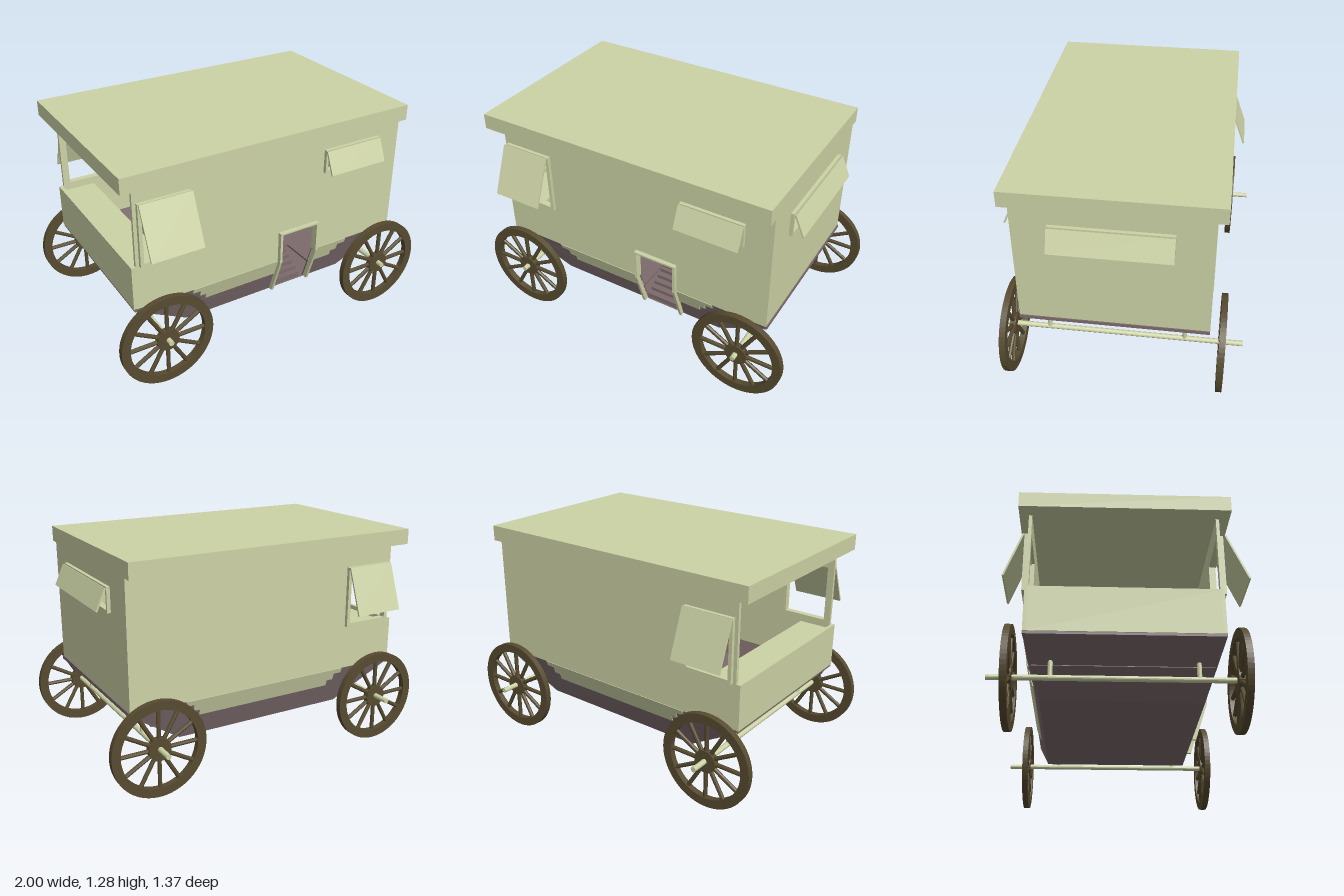
import * as THREE from 'three';

const mat = (color) => new THREE.MeshStandardMaterial({ color, flatShading: true, side: THREE.DoubleSide });
const BEND = 0.47, TAPER = 0.33; // below BEND the long sides lean inwards
const FRONT = 0.53, BACK = -0.505;

export function createModel() {
  const model = new THREE.Group();
  const green = mat(0xcdd3a6), purple = mat(0x7d6b6d), wood = mat(0x574b30);

  const add = (name, geo, material, parent = model) => {
    const mesh = new THREE.Mesh(geo, material);
    mesh.name = name;
    parent.add(mesh);
    return mesh;
  };
  const box = (name, x0, x1, y0, y1, z0, z1, material, parent) => {
    const geo = new THREE.BoxGeometry(x1 - x0, y1 - y0, z1 - z0);
    geo.translate((x0 + x1) / 2, (y0 + y1) / 2, (z0 + z1) / 2);
    return add(name, geo, material, parent);
  };
  const points = (list) => list.map(([x, y]) => new THREE.Vector2(x, y));
  const rect = (x0, x1, y0, y1) => points([[x0, y0], [x1, y0], [x1, y1], [x0, y1]]);

  // Flat sheet with holes, from z0 to z0 + depth
  const sheet = (outline, holes, z0, depth) => {
    const shape = new THREE.Shape(outline);
    holes.forEach((h) => shape.holes.push(new THREE.Path(h)));
    const geo = new THREE.ExtrudeGeometry(shape, { depth, bevelEnabled: false });
    return geo.translate(0, 0, z0);
  };
  // Lean a sheet inwards below the bend; side is +1 at the front, -1 at the back
  const lean = (geo, side) => {
    const p = geo.attributes.position;
    for (let i = 0; i < p.count; i++) {
      p.setZ(i, p.getZ(i) - side * Math.max(0, BEND - p.getY(i)) * TAPER);
    }
    geo.computeVertexNormals();
    return geo;
  };
  const quad = (name, corners, material) => {
    const geo = new THREE.BufferGeometry();
    geo.setAttribute('position', new THREE.Float32BufferAttribute(corners.flat(), 3));
    geo.setIndex([0, 1, 2, 0, 2, 3]);
    geo.computeVertexNormals();
    return add(name, geo, material);
  };

  // Roof
  box('roof', -0.93, 0.85, 1.19, 1.28, -0.557, 0.587, green);

  // Long upper walls with window holes, front one notched for the door
  const bigHole = rect(-0.81, -0.55, 0.75, 1.075);
  const smallHole = rect(0.335, 0.68, 0.98, 1.09);
  const wallTop = [[0.85, 1.19], [-0.85, 1.19], [-0.85, 0.73], [-0.875, 0.73], [-0.875, BEND]];
  const doorNotch = [[0.045, BEND], [0.045, 0.65], [0.28, 0.65], [0.28, BEND]];
  add('frontWall', sheet(points([...wallTop, ...doorNotch, [0.85, BEND]]), [bigHole, smallHole], FRONT - 0.018, 0.018), green);
  add('backWall', sheet(points([...wallTop, [0.85, BEND]]), [bigHole], BACK, 0.018), green);

  // End wall with a window slot, and the open serving end
  const endWall = add('endWall', sheet(rect(-FRONT, -BACK, BEND, 1.19), [rect(-0.322, 0.292, 0.98, 1.09)], -0.018, 0.018), green);
  endWall.rotation.y = Math.PI / 2;
  endWall.position.x = 0.85;
  box('counterPanel', -0.875, -0.855, BEND, 0.73, BACK, FRONT, green);
  box('counterShelf', -0.86, -0.66, 0.69, 0.705, BACK + 0.018, FRONT - 0.018, green);

  // Lower skirts with stepped ends
  const steps = [[0.52, BEND], [0.52, 0.44], [0.47, 0.44], [0.47, 0.4], [0.43, 0.4], [0.43, 0.365]];
  const mirrored = steps.map(([x, y]) => [-x, y]).reverse();
  const skirtNotch = [[0.28, 0.365], [0.28, BEND], [0.045, BEND], [0.045, 0.365]];
  const rightPart = [...steps, [0.28, 0.365], [0.28, BEND]];
  const leftPart = [[0.045, BEND], skirtNotch[3], ...mirrored];
  add('frontSkirtRight', lean(sheet(points(rightPart), [], FRONT - 0.01, 0.014), 1), green);
  add('frontSkirtLeft', lean(sheet(points(leftPart), [], FRONT - 0.01, 0.014), 1), green);
  add('backSkirt', lean(sheet(points([...steps, ...mirrored]), [], BACK - 0.004, 0.014), -1), green);

  // Hull: leaning sides, sloped ends and flat bottom
  const hullEnds = [[-0.53, 0.235], [-0.865, 0.455], [-0.865, 0.475], [0.85, 0.475], [0.85, 0.455], [0.53, 0.235]];
  const hullLeft = [...hullEnds.slice(0, 3), [0.045, 0.475], [0.045, 0.235]];
  const hullRight = [[0.28, 0.235], [0.28, 0.475], ...hullEnds.slice(3)];
  add('hullFrontLeft', lean(sheet(points(hullLeft), [], FRONT - 0.015, 0.014), 1), purple);
  add('hullFrontRight', lean(sheet(points(hullRight), [], FRONT - 0.015, 0.014), 1), purple);
  add('hullBack', lean(sheet(points(hullEnds), [], BACK + 0.001, 0.014), -1), purple);
  const inset = (BEND - 0.235) * TAPER;
  const zf = FRONT - inset, zb = BACK + inset;
  quad('hullBottom', [[-0.53, 0.235, zb], [0.53, 0.235, zb], [0.53, 0.235, zf], [-0.53, 0.235, zf]], purple);
  for (const [s, x] of [[1, 0.85], [-1, -0.865]]) {
    const end = [[s * 0.53, 0.235, zf], [s * 0.53, 0.235, zb], [x, 0.455, BACK], [x, 0.455, FRONT]];
    quad('hullEndSlope', s > 0 ? end : end.reverse(), purple);
    box('hullRim', x - 0.006, x + 0.006, 0.455, 0.475, BACK, FRONT, purple);
  }

  // Floor around the stairwell
  box('floor', -0.715, 0.715, 0.353, 0.365, BACK + 0.04, 0.28, purple);
  box('floorLeft', -0.715, 0.045, 0.353, 0.365, 0.28, FRONT - 0.045, purple);
  box('floorRight', 0.28, 0.715, 0.353, 0.365, 0.28, FRONT - 0.045, purple);
  for (let i = 0; i < 5; i++) {
    const z = 0.445 - i * 0.035;
    box('step', 0.045, 0.25, 0.238, 0.27 + i * 0.022, z - 0.035, z, purple);
  }

  // Door frame: arch above the bend, leaning legs below
  const arch = points([[0.03, BEND], [0.03, 0.66], [0.295, 0.66], [0.295, BEND], ...[...doorNotch].reverse()]);
  add('doorFrame', sheet(arch, [], FRONT - 0.005, 0.03), green);
  for (const x of [0.03, 0.28]) {
    add('doorFrameLeg', lean(sheet(rect(x, x + 0.015, 0.235, BEND), [], FRONT - 0.005, 0.03), 1), green);
  }

  // Framed windows with propped flaps, built facing +z
  const makeWindow = (name, x0, x1, y0, y1, b, hinge, tip) => {
    const group = new THREE.Group();
    group.name = name;
    add('windowFrame', sheet(rect(x0, x1, y0, y1), [rect(x0 + b, x1 - b, y0 + b, y1 - b)], 0, 0.02), green, group);
    const [hz, hy] = hinge, [tz, ty] = tip;
    const flap = add('windowFlap', new THREE.BoxGeometry(x1 - x0, Math.hypot(tz - hz, hy - ty), 0.01), green, group);
    flap.position.set((x0 + x1) / 2, (hy + ty) / 2, (hz + tz) / 2);
    flap.rotation.x = -Math.atan2(tz - hz, hy - ty);
    model.add(group);
    return group;
  };
  makeWindow('frontServingWindow', -0.83, -0.53, 0.73, 1.095, 0.02, [0.033, 1.1], [0.15, 0.828]).position.z = FRONT;
  makeWindow('frontSmallWindow', 0.32, 0.695, 0.965, 1.105, 0.015, [0.023, 1.1], [0.078, 0.975]).position.z = FRONT;
  const backWindow = makeWindow('backServingWindow', 0.53, 0.83, 0.73, 1.085, 0.02, [0.025, 1.085], [0.122, 0.82]);
  backWindow.position.z = BACK;
  backWindow.rotation.y = Math.PI;
  const endWindow = makeWindow('endWindow', -0.337, 0.307, 0.965, 1.105, 0.015, [0.025, 1.1], [0.078, 0.98]);
  endWindow.position.x = 0.85;
  endWindow.rotation.y = Math.PI / 2;

  // Axles with upright struts, and spoked wheels
  const makeWheel = (x, z) => {
    const wheel = new THREE.Group();
    wheel.name = 'wheel';
    const rim = new THREE.Shape().absarc(0, 0, 0.273, 0, Math.PI * 2);
    rim.holes.push(new THREE.Path().absarc(0, 0, 0.222, 0, Math.PI * 2, true));
    const rimGeo = new THREE.ExtrudeGeometry(rim, { depth: 0.034, bevelEnabled: false, curveSegments: 32 });
    add('rim', rimGeo.translate(0, 0, -0.017), wood, wheel);
    add('hub', new THREE.CylinderGeometry(0.065, 0.065, 0.034, 24).rotateX(Math.PI / 2), wood, wheel);
    for (let i = 0; i < 12; i++) {
      const spoke = new THREE.CylinderGeometry(0.012, 0.012, 0.18, 8).translate(0, 0.14, 0);
      add('spoke', spoke.rotateZ((i * Math.PI) / 6), wood, wheel);
    }
    wheel.position.set(x, 0.275, z);
    model.add(wheel);
  };
  for (const x of [-0.727, 0.722]) {
    makeWheel(x, 0.607);
    makeWheel(x, -0.573);
    const axle = add('axle', new THREE.CylinderGeometry(0.015, 0.015, 1.35, 16).rotateX(Math.PI / 2), green);
    axle.position.set(x, 0.278, -0.015);
    for (const z of [0.4, -0.365]) {
      add('axleStrut', new THREE.CylinderGeometry(0.013, 0.013, 0.125, 12), green).position.set(x, 0.342, z);
    }
  }
  return model;
}
